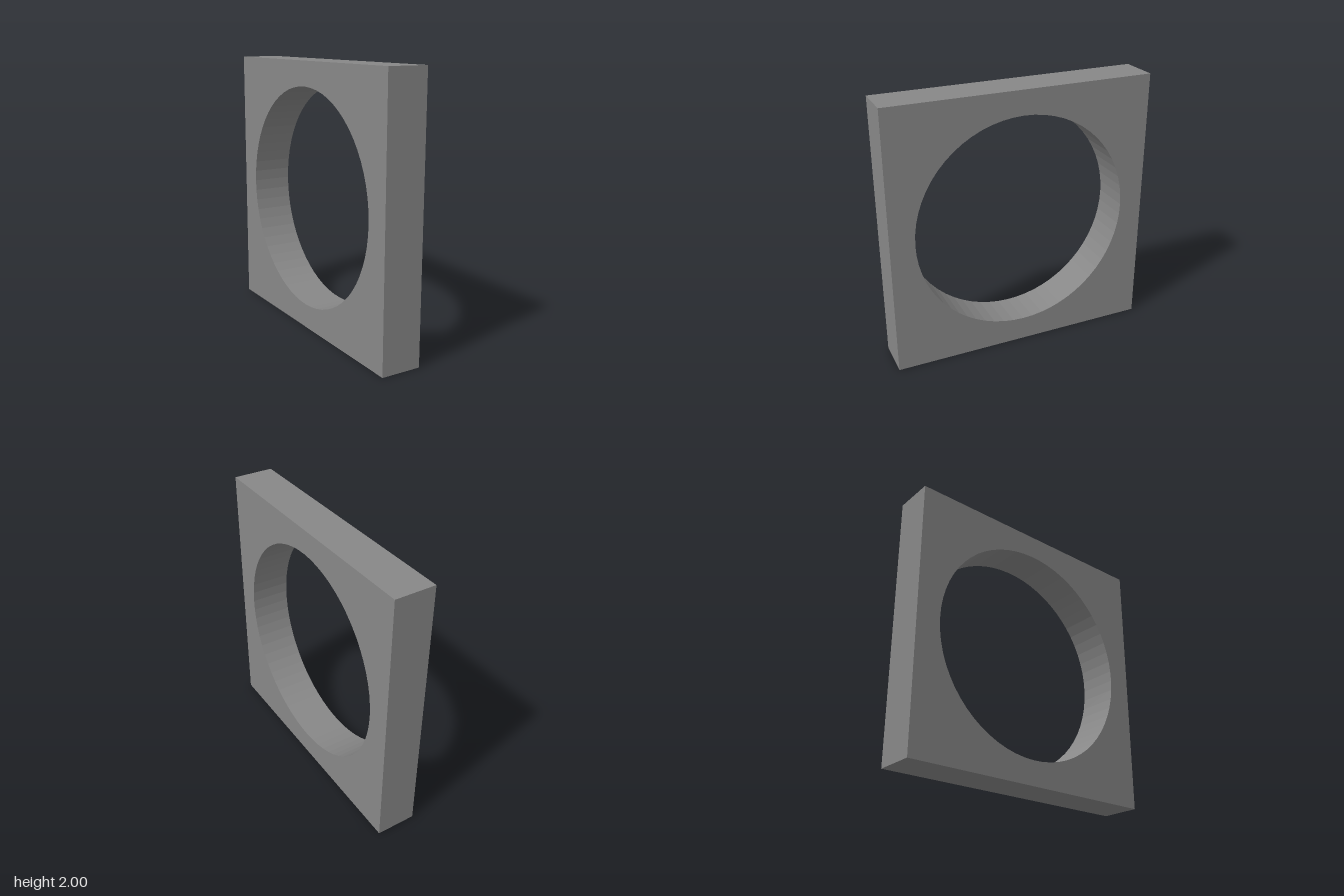
import * as THREE from 'three';

const SIZE = 2, DEPTH = 0.3, HOLE_RADIUS = 0.818;

export function createModel() {
  const group = new THREE.Group();
  group.name = 'squareRing';

  // Square outline with a round through-hole
  const h = SIZE / 2;
  const outline = new THREE.Shape([
    new THREE.Vector2(-h, -h),
    new THREE.Vector2(h, -h),
    new THREE.Vector2(h, h),
    new THREE.Vector2(-h, h),
  ]);
  outline.holes.push(new THREE.Path().absarc(0, 0, HOLE_RADIUS, 0, Math.PI * 2, true));

  // Extruded along x, standing on the ground
  const geometry = new THREE.ExtrudeGeometry(outline, {
    depth: DEPTH, bevelEnabled: false, curveSegments: 32,
  });
  geometry.translate(0, 0, -DEPTH / 2).rotateY(Math.PI / 2).translate(0, h, 0);

  const frame = new THREE.Mesh(
    geometry,
    new THREE.MeshStandardMaterial({ color: 0x878787, flatShading: true })
  );
  frame.name = 'frame';
  group.add(frame);
  return group;
}
